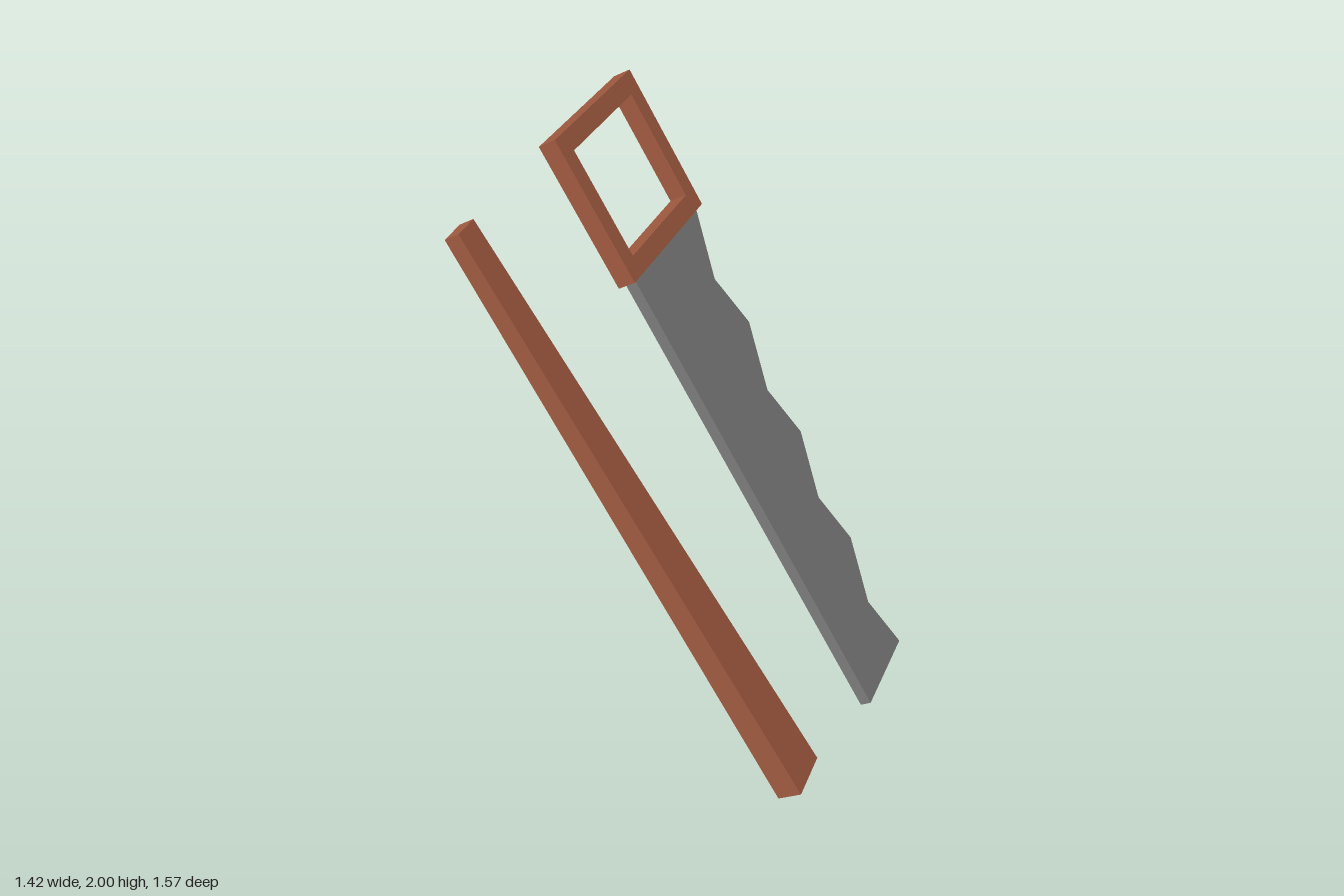
import * as THREE from 'three';

const wood = new THREE.MeshStandardMaterial({ name: 'brown wood', color: 0xa05a40 });
const steel = new THREE.MeshStandardMaterial({ name: 'grey steel', color: 0x7b7b7b });

// Orient an object so its local x is across and local y is up the length
function place(object, across, up, origin) {
  const y = new THREE.Vector3(...up).normalize();
  const z = new THREE.Vector3(...across).cross(y).normalize();
  const x = y.clone().cross(z);
  object.quaternion.setFromRotationMatrix(new THREE.Matrix4().makeBasis(x, y, z));
  object.position.set(...origin);
}

const points = (list) => list.map(([x, y]) => new THREE.Vector2(x, y));
const rectangle = (x0, y0, x1, y1) => points([[x0, y0], [x1, y0], [x1, y1], [x0, y1]]);

// Flat plate whose front face lies at local z = front
function plate(name, shape, depth, front, material) {
  const geometry = new THREE.ExtrudeGeometry(shape, { depth, bevelEnabled: false });
  geometry.translate(0, 0, front - depth);
  const mesh = new THREE.Mesh(geometry, material);
  mesh.name = name;
  return mesh;
}

function createSaw() {
  const saw = new THREE.Group();
  saw.name = 'saw';

  // Rectangular frame handle
  const width = 0.606, height = 0.523, rim = 0.067;
  const frame = new THREE.Shape(rectangle(0, 0, width, height));
  frame.holes.push(new THREE.Path(rectangle(rim, rim, width - rim, height - rim)));
  saw.add(plate('handle', frame, 0.065, 0, wood));

  // Tapering blade with four large teeth
  const outline = [[0.027, 0], [0.02, -1.74]];
  for (let i = 3; i >= 0; i--) {
    outline.push([0.528 - 0.047 * i, -0.435 - 0.435 * i]);
    outline.push([0.463 - 0.045 * i, -0.225 - 0.431 * i]);
  }
  outline.push([0.577, 0]);
  saw.add(plate('blade', new THREE.Shape(points(outline)), 0.04, -0.0125, steel));

  place(saw, [0.828, -0.025, -0.56], [-0.267, 0.859, -0.4355], [-0.073, 1.55, -0.178]);
  return saw;
}

function createPole() {
  // Square-cut beam, narrowing toward the top in both directions
  const geometry = new THREE.BoxGeometry(1, 2.187, 1);
  const position = geometry.attributes.position;
  for (let i = 0; i < position.count; i++) {
    const top = position.getY(i) > 0;
    position.setX(i, position.getX(i) * (top ? 0.101 : 0.183));
    position.setZ(i, position.getZ(i) * (top ? 0.055 : 0.09));
  }
  geometry.computeVertexNormals();
  const pole = new THREE.Mesh(geometry, wood);
  pole.name = 'taperedPole';
  place(pole, [0.82, 0, -0.57], [-0.294, 0.859, -0.419], [-0.339, 0.966, 0.232]);
  return pole;
}

export function createModel() {
  const model = new THREE.Group();
  model.name = 'sawAndPole';
  model.add(createSaw(), createPole());
  return model;
}
